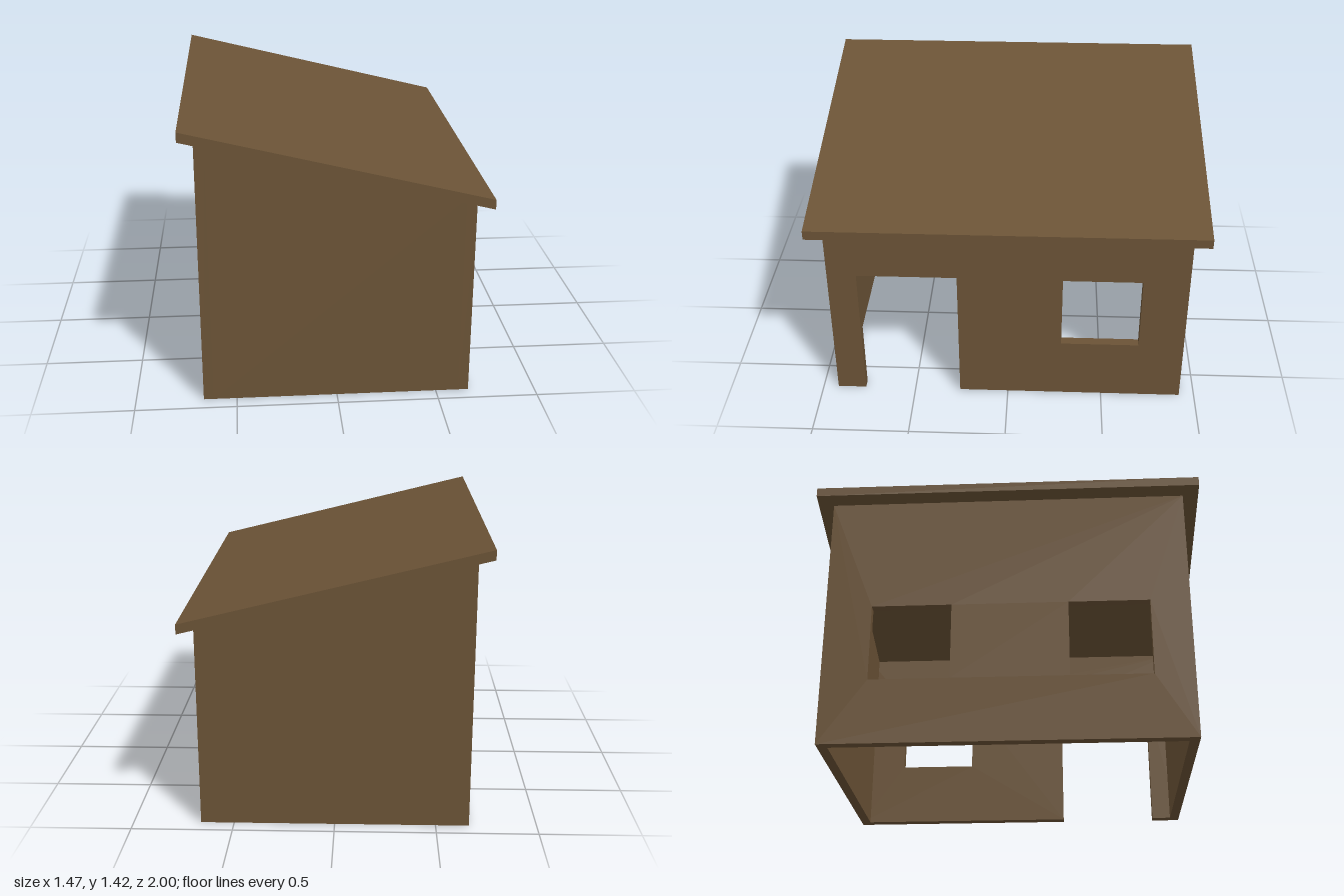
import * as THREE from 'three';

const WALL = 0.05;            // wall thickness
const HALF_X = 0.665, HALF_Z = 0.92;
const ROOF_X = 0.735, ROOF_Z = 1.0, ROOF_T = 0.048;
const underside = (x) => 1.187 - 0.2475 * x; // sloped line under the roof

function outline(points, Type = THREE.Shape) {
  return new Type(points.map(([x, y]) => new THREE.Vector2(x, y)));
}

// Trim the wall top to the roof slope
function trimTop(geo) {
  const p = geo.attributes.position;
  for (let i = 0; i < p.count; i++) {
    if (p.getY(i) > 0.95) p.setY(i, underside(p.getX(i)));
  }
  geo.computeVertexNormals();
  return geo;
}

export function createModel() {
  const group = new THREE.Group();
  const wood = new THREE.MeshStandardMaterial({ color: 0x6b5336 });
  wood.name = 'brown wood';

  const add = (name, geo) => {
    const mesh = new THREE.Mesh(geo, wood);
    mesh.name = name;
    group.add(mesh);
  };
  const extrude = (shape, depth) =>
    new THREE.ExtrudeGeometry(shape, { depth, bevelEnabled: false });

  // Side walls, drawn as z against y
  const windowHole = (z0, z1) =>
    outline([[z0, 0.335], [z0, 0.74], [z1, 0.74], [z1, 0.335]], THREE.Path);
  const sideWall = (name, points, windows, outerX) => {
    const shape = outline(points);
    shape.holes = windows.map(([a, b]) => windowHole(a, b));
    const geo = extrude(shape, WALL).rotateY(-Math.PI / 2).translate(outerX, 0, 0);
    add(name, trimTop(geo));
  };
  const backWindow = [-0.685, -0.28], frontWindow = [0.31, 0.72];
  sideWall('leftWallWithDoor', [
    [-HALF_Z, 0], [0.258, 0], [0.258, 0.743], [0.77, 0.743], [0.77, 0],
    [HALF_Z, 0], [HALF_Z, 1], [-HALF_Z, 1],
  ], [backWindow], HALF_X);
  sideWall('rightWallWithWindows', [
    [-HALF_Z, 0], [HALF_Z, 0], [HALF_Z, 1], [-HALF_Z, 1],
  ], [backWindow, frontWindow], -HALF_X + WALL);

  // Front and back walls fit between the side walls
  const inner = HALF_X - WALL;
  for (const [name, z] of [['frontWall', HALF_Z - WALL], ['backWall', -HALF_Z]]) {
    const shape = outline([[-inner, 0], [inner, 0], [inner, 1], [-inner, 1]]);
    add(name, trimTop(extrude(shape, WALL).translate(0, 0, z)));
  }

  // Single-pitch roof with upright edges
  const low = underside(ROOF_X), high = underside(-ROOF_X);
  const roof = outline([
    [-ROOF_X, high], [ROOF_X, low], [ROOF_X, low + ROOF_T], [-ROOF_X, high + ROOF_T],
  ]);
  add('roof', extrude(roof, 2 * ROOF_Z).translate(0, 0, -ROOF_Z));

  return group;
}
